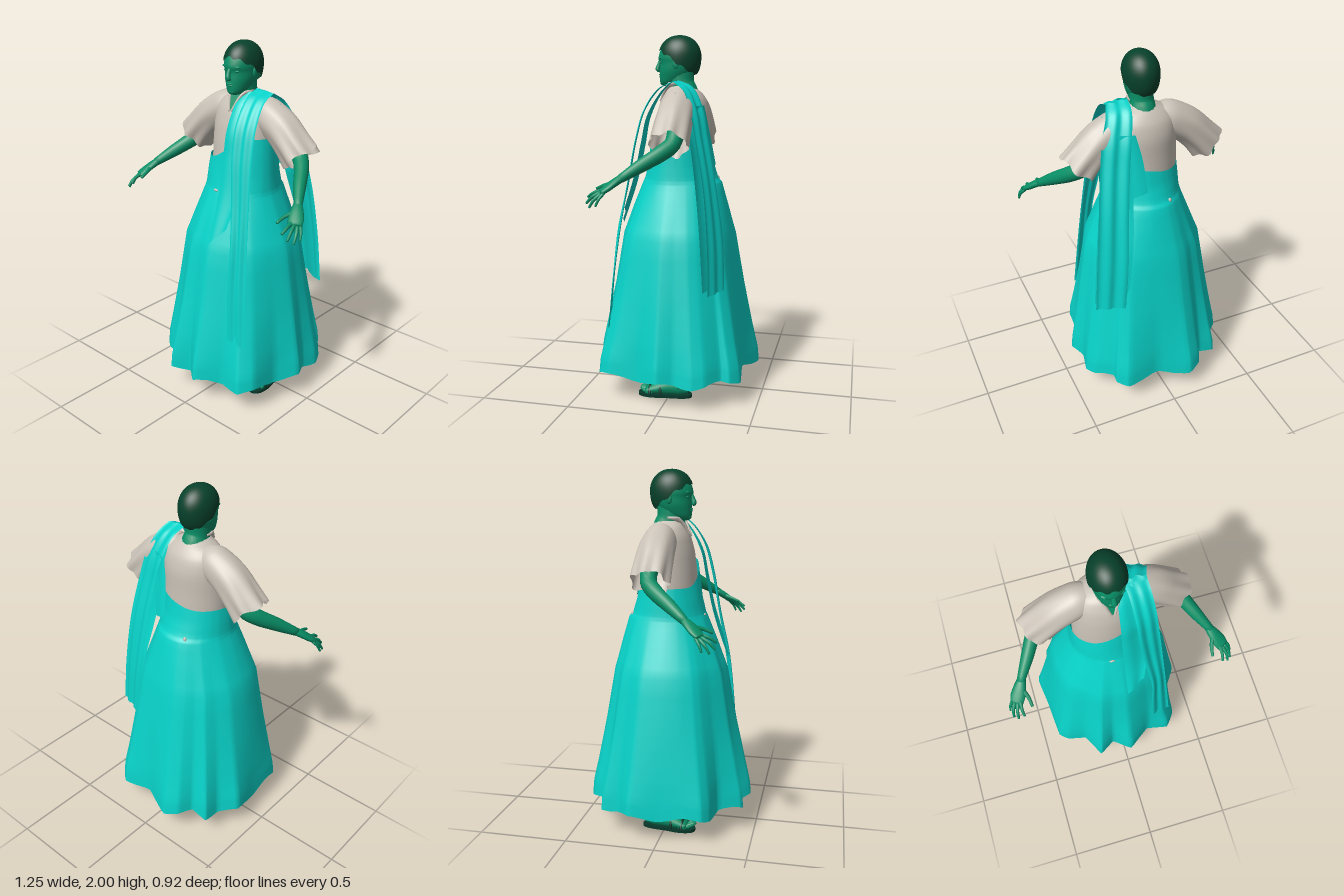
import * as THREE from 'three';

const V = (x, y, z) => new THREE.Vector3(x, y, z);
const mat = (name, color) => {
  const m = new THREE.MeshStandardMaterial({ color, side: THREE.DoubleSide });
  m.name = name;
  return m;
};

// Skin a list of point rows; closed rows wrap around
function loft(rows, closed) {
  const n = rows[0].length, cols = closed ? n : n - 1, idx = [];
  for (let i = 0; i < rows.length - 1; i++) for (let j = 0; j < cols; j++) {
    const a = i * n + j, b = i * n + (j + 1) % n;
    idx.push(a, b, a + n, b, b + n, a + n);
  }
  const g = new THREE.BufferGeometry().setFromPoints(rows.flat());
  g.setIndex(idx);
  g.computeVertexNormals();
  return g;
}

// Oval tube through stations [x, y, z, ru, rv]; ru lies along the ref axis
function limb(stations, ref = V(0, 0, 1), { seg = 16, steps = 4, cap = true, ripple = 0 } = {}) {
  const path = new THREE.CatmullRomCurve3(stations.map(s => V(s[0], s[1], s[2])));
  const rad = new THREE.CatmullRomCurve3(stations.map(s => V(s[3], s[4], 0)));
  const total = (stations.length - 1) * steps, rows = [];
  for (let i = 0; i <= total; i++) {
    const t = i / total, c = path.getPoint(t), d = path.getTangent(t), r = rad.getPoint(t);
    const v = d.clone().cross(ref).normalize(), u = v.clone().cross(d).normalize();
    rows.push(Array.from({ length: seg }, (_, j) => {
      const a = j / seg * Math.PI * 2, k = 1 + ripple * t * t * Math.cos(a * 7);
      return c.clone().addScaledVector(u, r.x * k * Math.cos(a)).addScaledVector(v, r.y * k * Math.sin(a))
        .addScaledVector(d, ripple * t * t * 0.12 * Math.sin(a * 4));
    }));
    if (cap && i === 0) rows.unshift(rows[0].map(() => c.clone()));
    if (cap && i === total) rows.push(rows[0].map(() => c.clone()));
  }
  return loft(rows, true);
}

// Upright body from rows [y, half width, front z, back z], listed from the top down
function body(levels, seg = 32, steps = 3) {
  const a = new THREE.CatmullRomCurve3(levels.map(l => V(l[0], l[1], 0)));
  const b = new THREE.CatmullRomCurve3(levels.map(l => V(l[2], l[3], 0)));
  const total = (levels.length - 1) * steps;
  return loft(Array.from({ length: total + 1 }, (_, i) => {
    const p = a.getPoint(i / total), q = b.getPoint(i / total);
    return Array.from({ length: seg }, (_, j) => {
      const t = -j / seg * Math.PI * 2;
      return V(p.y * Math.cos(t), p.x, (q.x + q.y) / 2 + (q.x - q.y) / 2 * Math.sin(t));
    });
  }), true);
}

// Softly pleated cloth between two edge paths
function drape(left, right, pleats, depth) {
  const L = new THREE.CatmullRomCurve3(left.map(p => V(...p)));
  const R = new THREE.CatmullRomCurve3(right.map(p => V(...p)));
  return loft(Array.from({ length: 41 }, (_, i) => {
    const l = L.getPoint(i / 40), r = R.getPoint(i / 40);
    return Array.from({ length: 25 }, (_, j) => {
      const p = l.clone().lerp(r, j / 24);
      p.z += depth * Math.sin(j / 24 * pleats * Math.PI * 2) * Math.sign(p.z || 1);
      return p;
    });
  }), false);
}

// Hem outline (x, z) and skirt levels [y, half width, front, back, fold]
const HEM = [[.45, .02], [.37, .14], [.36, .31], [.3, .385], [.17, .36], [.03, .46], [-.07, .38], [-.17, .44],
  [-.24, .31], [-.35, .28], [-.4, .24], [-.41, .14], [-.42, 0], [-.44, -.16], [-.35, -.24], [-.34, -.34],
  [-.24, -.34], [-.2, -.42], [-.12, -.46], [.06, -.39], [.25, -.41], [.31, -.36], [.31, -.31], [.4, -.24], [.43, -.17], [.41, -.07]];
const SKIRT = [[1.4, .2, .142, .185, 0], [1.3, .207, .165, .2, 0], [1.22, .212, .185, .225, 0], [1.19, .218, .198, .25, .05],
  [1.06, .268, .25, .285, .12], [.9, .33, .305, .32, .22], [.6, .375, .35, .365, .38], [.35, .41, .395, .4, .68],
  [.22, .425, .42, .425, .95], [.14, .43, .43, .43, 1]];

function skirtGeometry() {
  const hem = new THREE.CatmullRomCurve3(HEM.map(p => V(p[0], 0, p[1])), true, 'catmullrom', .12).getPoints(104).slice(0, 104);
  const rows = [];
  for (let i = 0; i < SKIRT.length - 1; i++) for (let k = 0; k < 3; k++) {
    rows.push(SKIRT[i].map((v, c) => THREE.MathUtils.lerp(v, SKIRT[i + 1][c], k / 3)));
  }
  rows.push(SKIRT.at(-1));
  return loft(rows.map(([y, rx, zf, zb, f]) => hem.map(h => {
    const a = Math.atan2(h.z, h.x), c = Math.cos(a), s = Math.sin(a);
    const p = V(rx * c, y, s * (s > 0 ? zf : zb)).lerp(V(h.x * rx / .43, y, h.z * rx / .43), f);
    // slanted wrap at the waist, scalloped hem
    const lift = Math.max(0, (y - 1.3) / .1), slant = THREE.MathUtils.smoothstep(c, -.7, .8);
    p.y += lift * (s > -.2 ? -.03 + .14 * slant : -.03 + .05 * slant) + f ** 4 * .014 * Math.cos(a * 9);
    return p;
  })).reverse(), true);
}

export function createModel() {
  const model = new THREE.Group();
  const skin = mat('skin', 0x088f66), hair = mat('hair', 0x07412c), cloth = mat('teal cloth', 0x08d2c8);
  const shirt = mat('cream shirt', 0xcbc3b8), sandal = mat('sandal', 0x07382a);
  const add = (name, geo, m, parent = model) => {
    const mesh = new THREE.Mesh(geo, m);
    mesh.name = name;
    parent.add(mesh);
    return mesh;
  };
  const ball = (name, m, pos, scale, parent) => {
    const b = add(name, new THREE.SphereGeometry(1, 16, 12), m, parent);
    b.position.set(...pos);
    b.scale.set(...scale);
    return b;
  };

  // Head and neck
  add('head', body([[1.98, .03, .04, -.05], [1.96, .065, .075, -.085], [1.92, .084, .1, -.11], [1.875, .086, .112, -.11],
    [1.85, .083, .104, -.105], [1.81, .078, .105, -.09], [1.775, .066, .105, -.07], [1.745, .05, .102, -.03],
    [1.727, .028, .088, .02], [1.725, .001, .06, .05]]), skin);
  add('neck', limb([[0, 1.6, -.04, .085, .1], [0, 1.68, -.035, .08, .075], [0, 1.74, -.015, .074, .064], [0, 1.82, -.01, .08, .066]]), skin);
  add('nose', limb([[0, 1.868, .1, .01, .01], [0, 1.84, .111, .012, .012], [0, 1.817, .117, .013, .017], [0, 1.808, .108, .008, .014]]), skin);
  ball('upperLip', skin, [0, 1.787, .102], [.024, .005, .008]);
  ball('lowerLip', skin, [0, 1.777, .1], [.02, .006, .009]);
  ball('chin', skin, [0, 1.748, .087], [.028, .02, .016]);
  for (const s of [1, -1]) {
    ball('eye', skin, [s * .036, 1.853, .086], [.016, .007, .011]);
    ball('brow', skin, [s * .034, 1.876, .088], [.026, .008, .013]);
    ball('ear', skin, [s * .084, 1.845, -.005], [.009, .03, .018]);
  }

  // Cropped hair: a dome whose edge drops from forehead to nape
  const hairRows = Array.from({ length: 17 }, (_, i) => Array.from({ length: 48 }, (_, j) => {
    const a = -j / 48 * Math.PI * 2, f = Math.sin(a);
    const end = (f > 0 ? 108 - 38 * Math.pow(f, .8) : 108 - 42 * f) + 4 * Math.cos(a * 10);
    const p = i / 16 * end * Math.PI / 180, q = Math.sin(p);
    const r = p > Math.PI / 2 ? Math.pow(q, .4) : Math.pow(q, .92);
    return V(.097 * r * Math.cos(a), 1.885 + .115 * Math.cos(p), -.008 + .12 * r * f);
  }));
  add('hair', loft(hairRows, true), hair);

  // Shirt with open neck
  add('shirtBody', body([[1.725, .064, .045, -.085], [1.71, .09, .055, -.105], [1.685, .14, .07, -.13], [1.64, .175, .095, -.16],
    [1.56, .187, .118, -.178], [1.46, .19, .132, -.178], [1.36, .192, .14, -.18], [1.26, .19, .145, -.18]]), shirt);
  add('neckOpening', loft([[V(-.035, 1.735, .052), V(.035, 1.735, .052)], [V(-.02, 1.69, .076), V(.02, 1.69, .076)],
    [V(-.002, 1.645, .1), V(.002, 1.645, .1)]], false), skin);
  for (const s of [1, -1]) {
    add('collar', limb([[s * .058, 1.74, -.02, .012, .008], [s * .04, 1.722, .052, .012, .008], [s * .008, 1.64, .1, .007, .006]], V(0, 0, 1), { seg: 8 }), shirt);
  }
  // Shirt showing through two small gaps below the waist
  ball('frontShirtGap', shirt, [-.028, 1.212, .187], [.016, .007, .006]);
  ball('backShirtGap', shirt, [-.08, 1.212, -.213], [.01, .014, .008]);

  // Sleeves, arms, hands, legs and sandals
  for (const s of [1, -1]) {
    add('sleeve', limb([[s * .08, 1.64, -.04, .07, .075], [s * .14, 1.62, -.04, .09, .097], [s * .24, 1.565, -.04, .098, .099],
      [s * .315, 1.495, -.04, .1, .097], [s * .378, 1.425, -.04, .1, .102]], V(0, 0, 1), { seg: 40, cap: false, ripple: .09 }), shirt);

    const arm = new THREE.Group();
    arm.name = s > 0 ? 'leftArm' : 'rightArm';
    model.add(arm);
    add('armLimb', limb([[s * .22, 1.58, -.05, .05, .05], [s * .35, 1.43, -.055, .044, .044], [s * .4, 1.385, -.01, .043, .04],
      [s * .46, 1.325, .08, .036, .034], [s * .525, 1.26, .175, .022, .022]], V(0, 1, 0)), skin, arm);
    add('palm', limb([[s * .515, 1.268, .163, .02, .022], [s * .538, 1.243, .2, .02, .034], [s * .56, 1.215, .235, .018, .04],
      [s * .575, 1.195, .262, .014, .035]], V(0, 1, 0)), skin, arm);
    const fingers = [
      [[.535, 1.24, .2], [.508, 1.225, .26], [.5, 1.205, .31], .013],
      [[.555, 1.205, .262], [.558, 1.19, .305], [.553, 1.168, .338], .011],
      [[.57, 1.195, .262], [.584, 1.172, .305], [.587, 1.14, .335], .011],
      [[.585, 1.19, .255], [.604, 1.16, .288], [.61, 1.122, .312], .011],
      [[.592, 1.195, .24], [.612, 1.165, .26], [.62, 1.13, .275], .01]];
    for (const [a, b, c, r] of fingers) {
      add('finger', limb([a, b, c].map((p, i) => [s * p[0], p[1], p[2], r * (1 - .22 * i), r * (1 - .22 * i)]),
        V(0, 1, 0), { seg: 8 }), skin, arm);
    }

    add('leg', limb([[s * .13, .9, -.03, .09, .09], [s * .19, .5, -.04, .065, .06], [s * .207, .3, -.065, .06, .055],
      [s * .213, .15, -.06, .042, .037], [s * .215, .06, -.06, .045, .037]]), skin);
    const foot = new THREE.Group();
    foot.name = 'foot';
    foot.position.set(s * .215, 0, 0);
    foot.rotation.y = s * .06;
    model.add(foot);
    add('footBody', limb([[0, .04, -.112, .02, .025], [0, .055, -.06, .048, .04], [0, .056, 0, .048, .043],
      [0, .044, .07, .034, .048], [0, .03, .13, .018, .047]], V(0, 1, 0)), skin, foot);
    for (let i = 0; i < 5; i++) {
      ball('toe', skin, [s * (-.038 + i * .019), .027, .15 - i * i * .0025], [i ? .0095 : .014, .013, .025], foot);
    }
    const sole = new THREE.Shape();
    sole.moveTo(0, -.13);
    sole.bezierCurveTo(.05, -.13, .042, -.03, .045, .02);
    sole.bezierCurveTo(.06, .09, .055, .175, 0, .177);
    sole.bezierCurveTo(-.055, .175, -.06, .09, -.045, .02);
    sole.bezierCurveTo(-.042, -.03, -.05, -.13, 0, -.13);
    add('sole', new THREE.ExtrudeGeometry(sole, { depth: .016, bevelEnabled: false })
      .rotateX(Math.PI / 2).translate(0, .016, 0), sandal, foot);
    const ankle = add('ankleStrap', new THREE.TorusGeometry(.045, .008, 8, 24), sandal, foot);
    ankle.rotation.x = Math.PI / 2;
    ankle.position.set(0, .118, -.058);
    ankle.scale.z = 1.5;
    for (const [z, h] of [[.045, .083], [.105, .056]]) {
      const band = add('footStrap', new THREE.TorusGeometry(.049, .007, 8, 20, Math.PI), sandal, foot);
      band.position.set(0, .012, z);
      band.scale.set(1, h / .056, 1.3);
    }
    add('heelStrap', new THREE.BoxGeometry(.018, .1, .008).translate(0, .068, -.112), sandal, foot);
  }

  // Skirt and the shawl hanging over the left shoulder
  add('skirt', skirtGeometry(), cloth);
  add('shawlFront', drape(
    [[.08, 1.755, -.02], [.09, 1.72, .07], [.1, 1.6, .165], [.11, 1.45, .21], [.14, 1.2, .25], [.175, .95, .3], [.18, .7, .328], [.19, .43, .345]],
    [[.2, 1.745, -.02], [.205, 1.71, .06], [.215, 1.6, .135], [.225, 1.45, .18], [.245, 1.2, .225], [.265, .95, .265], [.285, .7, .297], [.31, .4, .325]], 2, .005), cloth);
  add('shawlInnerFold', drape(
    [[.03, 1.735, .03], [.028, 1.68, .09], [.025, 1.55, .155], [.025, 1.4, .185], [.028, 1.2, .23], [.03, .95, .315]],
    [[.12, 1.75, .01], [.13, 1.69, .07], [.14, 1.56, .145], [.15, 1.42, .175], [.16, 1.23, .215], [.13, 1.05, .28]], 1, .005), cloth);
  add('shawlBack', drape(
    [[.08, 1.755, -.02], [.09, 1.72, -.1], [.12, 1.6, -.168], [.145, 1.45, -.2], [.175, 1.2, -.25], [.2, .9, -.295], [.225, .64, -.31]],
    [[.2, 1.745, -.02], [.225, 1.7, -.08], [.265, 1.6, -.125], [.295, 1.45, -.16], [.33, 1.2, -.21], [.36, .9, -.24], [.38, .63, -.25]], 2, .006), cloth);
  add('shawlUnderlayer', drape(
    [[.11, 1.68, -.12], [.12, 1.5, -.178], [.13, 1.3, -.205], [.165, 1, -.28], [.21, .66, -.305]],
    [[.23, 1.69, -.04], [.26, 1.5, -.11], [.295, 1.3, -.15], [.34, 1, -.19], [.375, .65, -.22]], 1, .005), cloth);
  add('shawlBackFlap', drape(
    [[.1, 1.62, -.168], [.07, 1.48, -.192], [.055, 1.3, -.225]],
    [[.2, 1.62, -.14], [.2, 1.48, -.165], [.19, 1.26, -.2]], 1, .004), cloth);
  return model;
}
